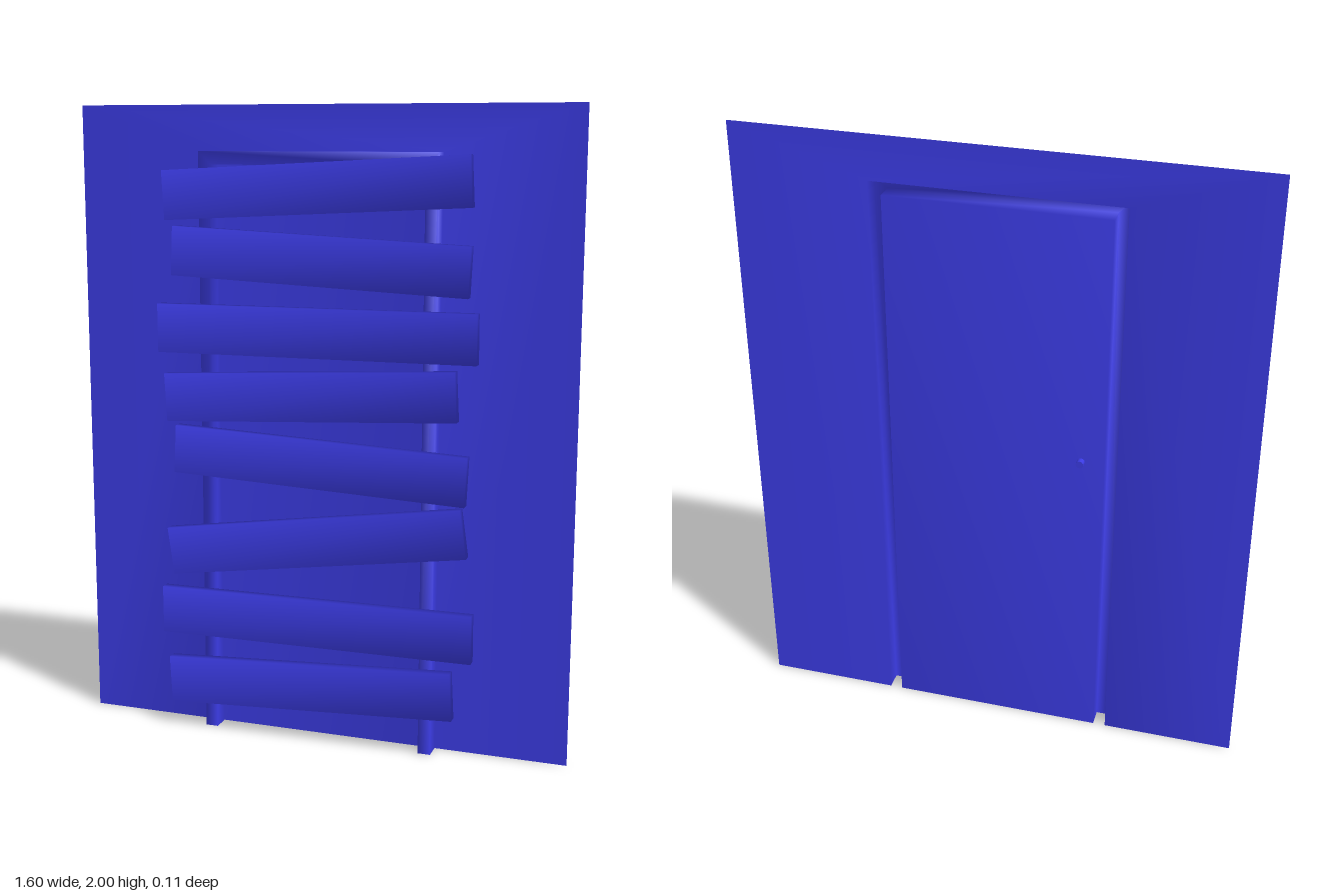
import * as THREE from 'three';
import { mergeVertices } from 'three/addons/utils/BufferGeometryUtils.js';

const BACK = -0.037, FRONT = 0.02;

export function createModel() {
  const model = new THREE.Group();
  const material = new THREE.MeshStandardMaterial({ color: 0x3c3ce6, side: THREE.DoubleSide });

  function add(name, geometry, parent = model) {
    const mesh = new THREE.Mesh(geometry, material);
    mesh.name = name;
    parent.add(mesh);
    return mesh;
  }

  // Nested door-shaped outlines [half width, height, z], from the wall's rim in to the door
  const outlines = [
    [0.8, 2, BACK],
    [0.38, 1.86, BACK],
    [0.38, 1.86, FRONT],
    [0.34, 1.82, FRONT],
    [0.34, 1.82, BACK],
  ];
  const points = outlines.flatMap(([w, h, z]) => [-w, 0, z, -w, h, z, w, h, z, w, 0, z]);

  // Joins neighbouring outlines with quads, open along the floor
  function bands(from, to) {
    const index = [];
    for (let i = from; i < to; i++) {
      for (let j = 0; j < 3; j++) {
        const a = i * 4 + j, b = a + 1, d = a + 4, c = a + 5;
        index.push(a, d, c, a, c, b);
      }
    }
    return index;
  }
  const wallIndex = bands(0, 1);
  const frameIndex = bands(1, 4);
  const doorIndex = [16, 19, 18, 16, 18, 17];

  // One sheet gives the smooth normals shared by wall, frame and door
  const sheet = new THREE.BufferGeometry();
  sheet.setAttribute('position', new THREE.Float32BufferAttribute(points, 3));
  sheet.setIndex([...wallIndex, ...frameIndex, ...doorIndex]);
  sheet.computeVertexNormals();

  function section(name, index) {
    const geometry = new THREE.BufferGeometry();
    geometry.setAttribute('position', sheet.getAttribute('position'));
    geometry.setAttribute('normal', sheet.getAttribute('normal'));
    geometry.setIndex(index);
    add(name, geometry);
  }
  section('wall', wallIndex);
  section('doorFrame', frameIndex);
  section('door', doorIndex);

  // Small knob through the door
  const knob = add('doorKnob', new THREE.CylinderGeometry(0.012, 0.012, 0.032, 12));
  knob.rotation.x = Math.PI / 2;
  knob.position.set(-0.268, 1.028, -0.041);

  // Planks nailed across the doorway: [x, y, length, tilt in degrees]
  const planks = new THREE.Group();
  planks.name = 'planks';
  model.add(planks);
  [
    [0, 1.753, 0.972, 3.1],
    [0.013, 1.537, 0.945, -2.5],
    [0, 1.318, 1.022, 0.3],
    [-0.019, 1.121, 0.94, 3.1],
    [0.013, 0.911, 0.945, -2.5],
    [0, 0.662, 0.97, 8.1],
    [0, 0.398, 1.022, 0.3],
    [-0.019, 0.184, 0.94, 3.1],
  ].forEach(([x, y, length, tilt]) => {
    // Corners share their normals for soft shading
    let box = new THREE.BoxGeometry(length, 0.152, 0.033);
    box.deleteAttribute('normal');
    box.deleteAttribute('uv');
    box = mergeVertices(box);
    box.computeVertexNormals();
    const plank = add('plank', box, planks);
    plank.position.set(x, y, 0.039);
    plank.rotation.z = THREE.MathUtils.degToRad(tilt);
  });

  return model;
}
